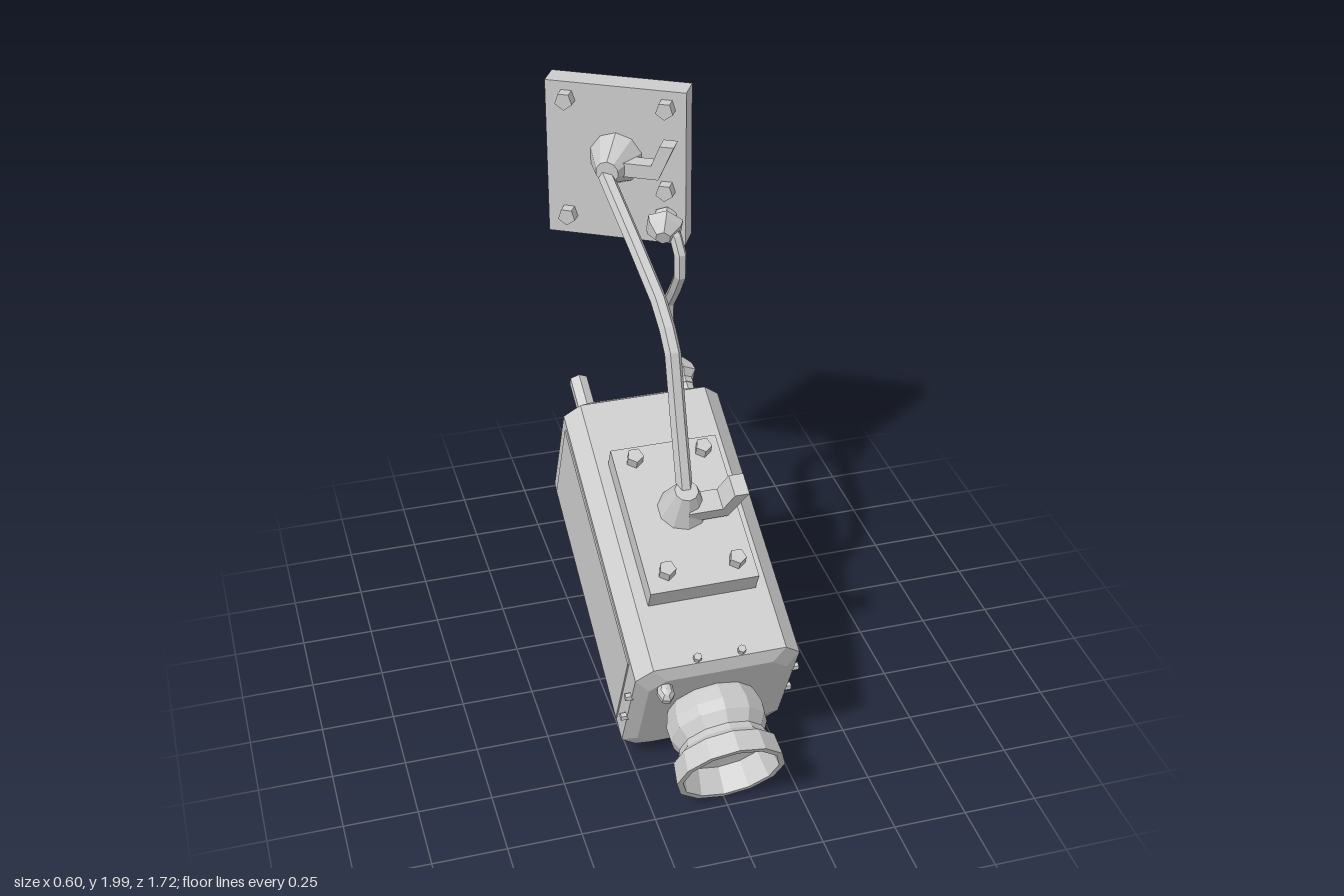
import * as THREE from 'three';
import { ConvexGeometry } from 'three/addons/geometries/ConvexGeometry.js';

const grey = new THREE.MeshStandardMaterial({ color: 0xcccccc, flatShading: true });
const greyDouble = new THREE.MeshStandardMaterial({ color: 0xcccccc, flatShading: true, side: THREE.DoubleSide });
const V = (x, y, z) => new THREE.Vector3(x, y, z);

function add(parent, name, geometry, x = 0, y = 0, z = 0, material = grey) {
  const mesh = new THREE.Mesh(geometry, material);
  mesh.name = name;
  mesh.position.set(x, y, z);
  parent.add(mesh);
  return mesh;
}

// Round part whose axis points along dir, centred on pos
function peg(parent, name, pos, dir, rBottom, rTop, length, sides) {
  const mesh = add(parent, name, new THREE.CylinderGeometry(rTop, rBottom, length, sides), ...pos);
  mesh.quaternion.setFromUnitVectors(V(0, 1, 0), V(...dir).normalize());
  return mesh;
}

// Tube with one segment between each pair of points
function pipe(parent, name, points, radius, sides) {
  const curve = new THREE.CatmullRomCurve3(points.map((p) => V(...p)));
  curve.getPointAt = (t) => curve.getPoint(t);
  curve.getTangentAt = (t) => curve.getTangent(t);
  return add(parent, name, new THREE.TubeGeometry(curve, points.length - 1, radius, sides), 0, 0, 0, greyDouble);
}

// Faceted cable gland: a collar that swells and tapers along its axis
function gland(parent, name, pos, dir, r, length) {
  const profile = [[0, 0], [0.6, 0], [0.6, 0.2], [1, 0.4], [0.9, 0.65], [0.4, 1], [0, 1]]
    .map(([a, b]) => new THREE.Vector2(a * r, b * length));
  const mesh = add(parent, name, new THREE.LatheGeometry(profile, 6), ...pos, greyDouble);
  mesh.quaternion.setFromUnitVectors(V(0, 1, 0), V(...dir).normalize());
}

// Bent clamp handle in the local xy plane
function handle(parent, name, depth) {
  const shape = new THREE.Shape(
    [[0, -0.025], [0.14, -0.025], [0.195, 0.1], [0.145, 0.1], [0.115, 0.025], [0, 0.025]]
      .map((p) => new THREE.Vector2(...p)));
  const geometry = new THREE.ExtrudeGeometry(shape, { depth, bevelEnabled: false });
  geometry.translate(0, 0, -depth / 2);
  return add(parent, name, geometry);
}

// Octagonal body section
function section(inset, z) {
  const h = 0.28 - inset, c = h - 0.055, points = [];
  for (const sx of [-1, 1]) for (const sy of [-1, 1]) {
    points.push(V(sx * h, sy * c, z), V(sx * c, sy * h, z));
  }
  return points;
}

function makeCamera() {
  const camera = new THREE.Group();
  camera.name = 'cameraHousing';
  camera.position.set(0, 0.52, 0.05);
  camera.rotation.x = THREE.MathUtils.degToRad(25);

  add(camera, 'body', new ConvexGeometry([
    ...section(0.045, -0.548), ...section(0, -0.515), ...section(0, 0.525), ...section(0.045, 0.548),
  ]));

  for (const s of [-1, 1]) {
    add(camera, 'sidePanel', new THREE.BoxGeometry(0.012, 0.41, 0.92), s * 0.279, 0, -0.01);
    for (const y of [0.096, -0.055]) peg(camera, 'sideScrew', [s * 0.284, y, 0.515], [s, 0, 0], 0.014, 0.014, 0.03, 6);
    peg(camera, 'topScrew', [s * 0.075, 0.284, 0.51], [0, 1, 0], 0.014, 0.014, 0.03, 6);
  }

  // Lens barrel, hollow at the front, with a shallow glass
  const lens = [[0.14, 0.53], [0.155, 0.56], [0.17, 0.61], [0.168, 0.65], [0.145, 0.69], [0.155, 0.715],
    [0.178, 0.735], [0.186, 0.81], [0.165, 0.81], [0.145, 0.72], [0, 0.7]]
    .map((p) => new THREE.Vector2(...p));
  add(camera, 'lens', new THREE.LatheGeometry(lens, 12), 0, 0, 0, greyDouble).rotation.x = Math.PI / 2;

  // Front indicator light and sensor
  add(camera, 'indicatorLight', new THREE.SphereGeometry(0.03, 7, 5), -0.185, 0.19, 0.565).scale.z = 1.4;
  add(camera, 'sensor', new THREE.BoxGeometry(0.05, 0.05, 0.02), 0.185, -0.19, 0.543);

  // Rear posts and cable inlet
  for (const [x, y] of [[-0.185, 0.18], [0.185, -0.17]]) {
    peg(camera, 'rearPost', [x, y, -0.61], [0, 0, -1], 0.034, 0.034, 0.15, 6);
  }
  peg(camera, 'cableInlet', [0.185, 0.185, -0.57], [0, 0, -1], 0.03, 0.03, 0.1, 6);
  gland(camera, 'cameraCableGland', [0.185, 0.185, -0.59], [0, 0, -1], 0.055, 0.12);

  // Top mounting plate with its joint
  add(camera, 'topPlate', new THREE.BoxGeometry(0.37, 0.09, 0.56), 0, 0.315, 0.013);
  for (const x of [-0.115, 0.125]) for (const z of [-0.213, 0.226]) {
    peg(camera, 'topPlateBolt', [x, 0.375, z], [0, 1, 0], 0.029, 0.029, 0.045, 5);
  }
  peg(camera, 'cameraJoint', [0, 0.412, -0.005], [0, 1, 0], 0.088, 0.04, 0.12, 10);
  handle(camera, 'cameraJointHandle', 0.08).position.set(0, 0.4, 0.02);
  return camera;
}

function makeWallMount() {
  const mount = new THREE.Group();
  mount.name = 'wallMount';
  mount.position.set(0.03, 1.715, -0.702);
  mount.rotation.y = THREE.MathUtils.degToRad(-29.5);

  add(mount, 'wallPlate', new THREE.BoxGeometry(0.495, 0.57, 0.088));
  for (const [x, y] of [[-0.172, 0.228], [0.18, 0.228], [-0.172, -0.207], [0.18, -0.075]]) {
    peg(mount, 'wallBolt', [x, y, 0.062], [0, 0, 1], 0.032, 0.032, 0.045, 5);
  }
  peg(mount, 'wallJoint', [0, 0.02, 0.104], [0, 0, 1], 0.095, 0.04, 0.12, 10);
  handle(mount, 'wallJointHandle', 0.06).position.set(0.03, 0.02, 0.1);
  gland(mount, 'wallCableGland', [0.175, -0.18, 0.04], [0.15, -0.35, 1], 0.07, 0.11);
  return mount;
}

export function createModel() {
  const model = new THREE.Group();
  model.name = 'securityCamera';
  model.add(makeCamera(), makeWallMount());

  // Support arm from the camera joint to the wall joint
  pipe(model, 'supportArm', [[0, 0.9, 0.235], [0, 1.15, 0.15], [0, 1.38, 0.078], [-0.003, 1.44, 0.025],
    [-0.008, 1.5, -0.06], [-0.024, 1.59, -0.28], [-0.05, 1.715, -0.58]], 0.028, 6);

  // Loose cable
  pipe(model, 'cable', [[0.15, 1.53, -0.53], [0.175, 1.49, -0.495], [0.183, 1.435, -0.467], [0.183, 1.355, -0.467],
    [0.183, 1.27, -0.53], [0.183, 1.17, -0.615], [0.183, 1.085, -0.622], [0.183, 1.02, -0.585],
    [0.185, 0.985, -0.5], [0.185, 0.96, -0.44]], 0.023, 6);
  return model;
}
